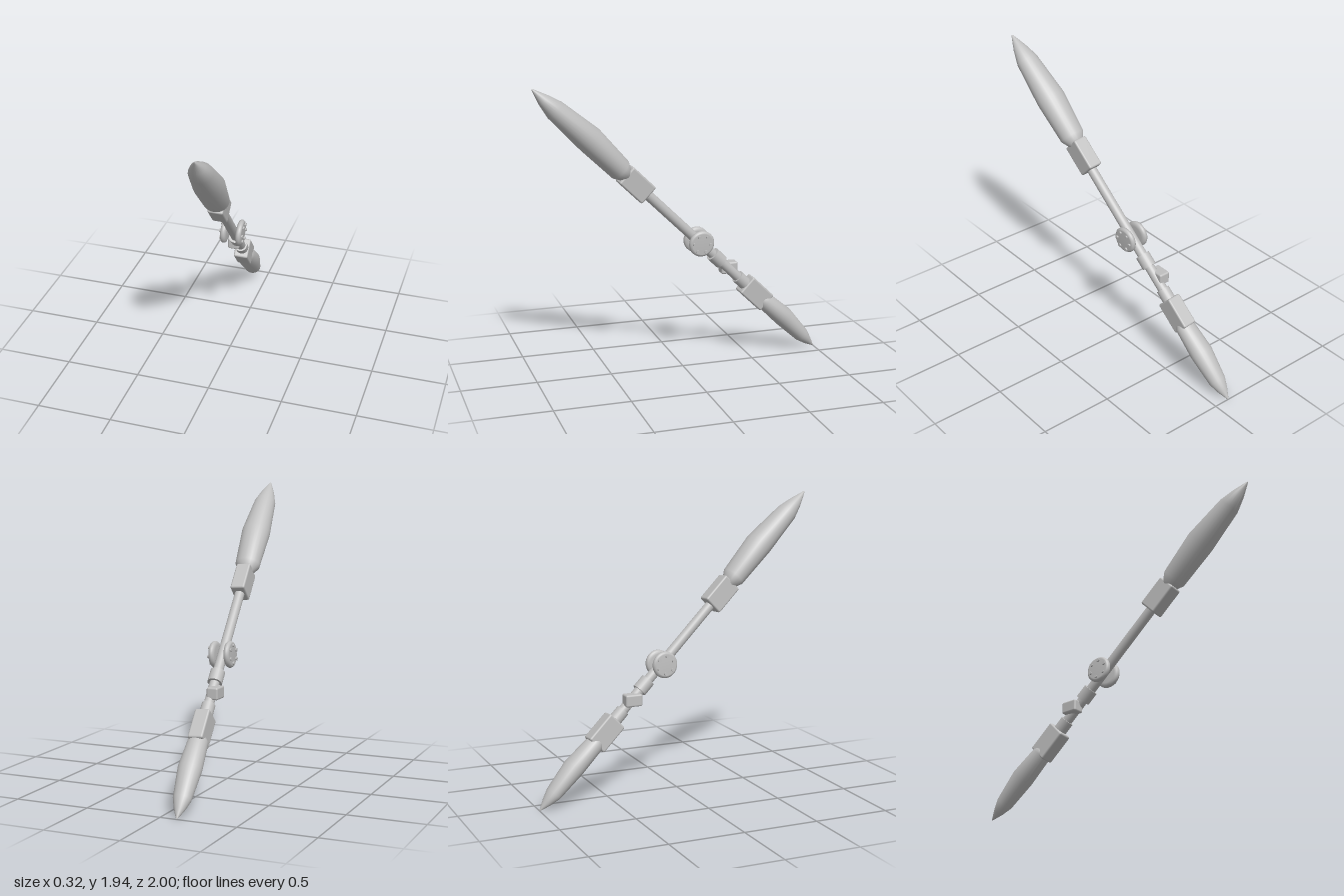
import * as THREE from 'three';
import { RoundedBoxGeometry } from 'three/addons/geometries/RoundedBoxGeometry.js';

export function createModel() {
  const root = new THREE.Group();
  root.name = 'doubleEndedStaff';
  const grey = new THREE.MeshStandardMaterial({ color: 0xbfbfbf });
  grey.name = 'grey';

  // Staff frame: local y runs along the shaft, x is sideways
  const top = new THREE.Vector3(0.1, 1.94, 1);
  const bottom = new THREE.Vector3(-0.11, 0, -1);
  const length = top.distanceTo(bottom);
  const axis = top.clone().sub(bottom).normalize();
  const side = new THREE.Vector3(1, 0, 0).addScaledVector(axis, -axis.x).normalize();
  const depth = side.clone().cross(axis);
  const staff = new THREE.Group();
  staff.name = 'staff';
  staff.quaternion.setFromRotationMatrix(new THREE.Matrix4().makeBasis(side, axis, depth));
  staff.position.copy(top).add(bottom).multiplyScalar(0.5);
  root.add(staff);

  const add = (name, geometry, parent = staff) => {
    const mesh = new THREE.Mesh(geometry, grey);
    mesh.name = name;
    parent.add(mesh);
    return mesh;
  };
  // Local height at a distance from the upper tip
  const at = (s) => length / 2 - s;

  // Cylinder between two distances from the upper tip
  const rod = (name, from, to, radius) => {
    add(name, new THREE.CylinderGeometry(radius, radius, to - from, 24)).position.y = at((from + to) / 2);
  };
  rod('shaft', 0.9, 2.2, 0.033);
  rod('upperCollar', 1.70, 1.79, 0.048);
  rod('lowerCollar', 1.96, 2.05, 0.044);

  // Tapered heads: a turned profile, slightly flattened, fuller on the back
  const head = new THREE.LatheGeometry(
    [[0, 0], [0.045, 0], [0.085, 0.07], [0.1, 0.36], [0.075, 0.66], [0.045, 0.76], [0.006, 0.855], [0, 0.86]]
      .map(([r, y]) => new THREE.Vector2(r, y)), 24);
  const p = head.attributes.position;
  for (let i = 0; i < p.count; i++) {
    const bulge = Math.max(0, 1 - Math.abs(p.getY(i) - 0.36) / 0.36);
    p.setZ(i, p.getZ(i) * 0.89 - 0.012 * bulge);
  }
  head.computeVertexNormals();
  add('upperHead', head).position.y = at(0.86);
  const lowerHead = add('lowerHead', head);
  lowerHead.scale.set(0.78, 0.7, 0.78);
  lowerHead.rotation.z = Math.PI;
  lowerHead.position.y = -length / 2 + 0.86 * 0.7;

  // Sockets holding the heads
  const socket = new RoundedBoxGeometry(0.1, 0.215, 0.14, 2, 0.012);
  add('upperSocket', socket).position.y = at(0.94);
  add('lowerSocket', socket).position.y = at(2.145);

  // Pair of bolted discs on either side of the shaft
  const discShape = new THREE.LatheGeometry(
    [[0, 0], [0.062, 0], [0.08, 0.006], [0.087, 0.016], [0.087, 0.028], [0.08, 0.038], [0.07, 0.042], [0, 0.042]]
      .map(([r, y]) => new THREE.Vector2(r, y)), 32);
  const boltShape = new THREE.CylinderGeometry(0.011, 0.011, 0.014, 10);
  for (const sign of [-1, 1]) {
    const disc = new THREE.Group();
    disc.name = sign > 0 ? 'leftDisc' : 'rightDisc';
    disc.position.set(sign * 0.03, at(1.56), 0);
    disc.rotation.z = -sign * Math.PI / 2;
    staff.add(disc);
    add('discBody', discShape, disc);
    for (let i = 0; i < 6; i++) {
      const a = (i + 0.35) * Math.PI / 3;
      add('bolt', boltShape, disc).position.set(0.058 * Math.cos(a), 0.045, 0.058 * Math.sin(a));
    }
  }

  // Small level block clamped to the right of the shaft
  add('sideBlock', new RoundedBoxGeometry(0.078, 0.08, 0.115, 2, 0.012), root).position.set(-0.068, 0.648, -0.343);

  return root;
}
